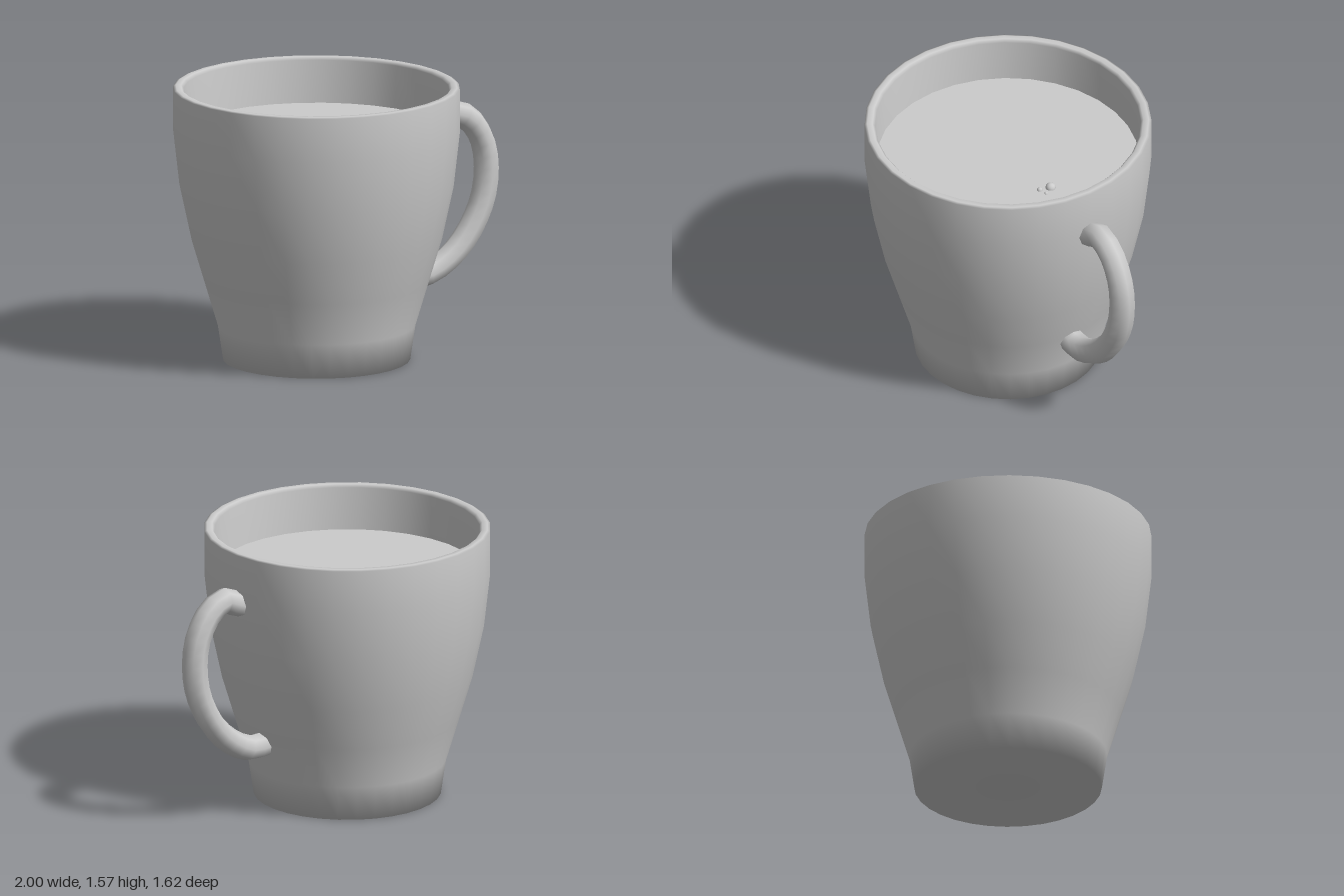
import * as THREE from 'three';

const AXIS_X = -0.19;
const LIQUID_Y = 1.31;

export function createModel() {
  const model = new THREE.Group();
  const grey = new THREE.MeshStandardMaterial({ color: 0xcccccc });

  function add(name, geometry, x = 0, y = 0, z = 0) {
    const mesh = new THREE.Mesh(geometry, grey);
    mesh.name = name;
    mesh.position.set(x, y, z);
    model.add(mesh);
    return mesh;
  }

  // Cup body: base, flared outside, rounded rim, then down the inside
  const profile = [
    [0, 0], [0.53, 0], [0.56, 0.2], [0.635, 0.45], [0.71, 0.7], [0.775, 1.0],
    [0.81, 1.31], [0.81, 1.565], [0.795, 1.572], [0.765, 1.572], [0.75, 1.555],
    [0.74, 1.3], [0.71, 1.0], [0.645, 0.7], [0.5, 0.2], [0, 0.12],
  ].map(([r, y]) => new THREE.Vector2(r, y));
  add('cupBody', new THREE.LatheGeometry(profile, 32), AXIS_X);

  // Drink surface
  add('liquid', new THREE.CircleGeometry(0.743, 32).rotateX(-Math.PI / 2), AXIS_X, LIQUID_Y);

  // Bubbles floating on the drink
  [[0.17, -0.04, 0.03], [0.152, 0.022, 0.017], [0.2, 0.012, 0.011]].forEach(([x, z, r], i) => {
    add(`bubble${i + 1}`, new THREE.SphereGeometry(r, 12, 8), x, LIQUID_Y, z);
  });

  // Handle: a bent tube whose ends are buried in the cup wall
  const path = new THREE.CatmullRomCurve3([
    [0.57, 1.265], [0.63, 1.285], [0.71, 1.318], [0.82, 1.26], [0.9, 1.13], [0.925, 0.98],
    [0.9, 0.8], [0.81, 0.62], [0.69, 0.49], [0.53, 0.405], [0.39, 0.41],
  ].map(([x, y]) => new THREE.Vector3(x, y, 0)));
  add('handle', new THREE.TubeGeometry(path, 20, 0.073, 8));

  return model;
}
